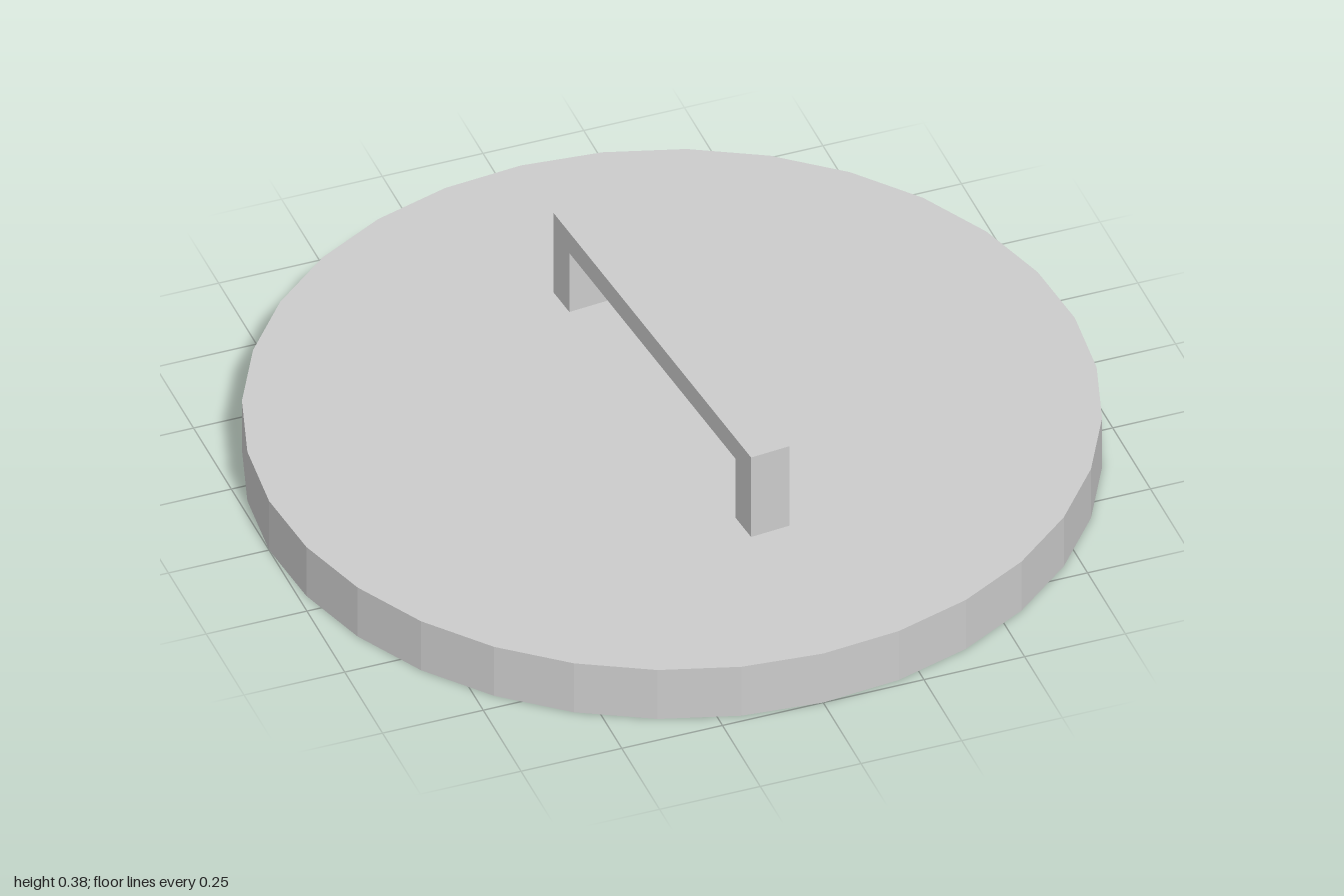
import * as THREE from 'three';

const SIDES = 32;
const LID_HEIGHT = 0.143;

export function createModel() {
  const group = new THREE.Group();
  const solid = new THREE.MeshStandardMaterial({ color: 0xcccccc, flatShading: true });
  const sheet = new THREE.MeshStandardMaterial({ color: 0xcccccc, flatShading: true, side: THREE.DoubleSide });
  const add = (name, geometry, material) => {
    const mesh = new THREE.Mesh(geometry, material);
    mesh.name = name;
    group.add(mesh);
    return mesh;
  };

  // Lid: thin faceted rim, open underneath, closed by a flat disc
  const rim = add('lidRim', new THREE.CylinderGeometry(1, 1, LID_HEIGHT, SIDES, 1, true), sheet);
  rim.position.y = LID_HEIGHT / 2;
  const top = add('lidTop', new THREE.CircleGeometry(1, SIDES).rotateX(-Math.PI / 2), sheet);
  top.position.y = LID_HEIGHT;

  // Handle: square-cornered bridge, turned slightly off the z axis
  const half = 0.522, leg = 0.083, rise = 0.232, bar = 0.06, width = 0.1;
  const profile = new THREE.Shape([
    [-half, 0], [-half + leg, 0], [-half + leg, rise - bar], [half - leg, rise - bar],
    [half - leg, 0], [half, 0], [half, rise], [-half, rise],
  ].map(([x, y]) => new THREE.Vector2(x, y)));
  const bridge = new THREE.ExtrudeGeometry(profile, { depth: width, bevelEnabled: false });
  bridge.translate(0, 0, -width / 2).rotateY(-Math.PI / 2);
  const handle = add('handle', bridge, solid);
  handle.position.set(0, LID_HEIGHT, -0.002);
  handle.rotation.y = 0.096;

  return group;
}
